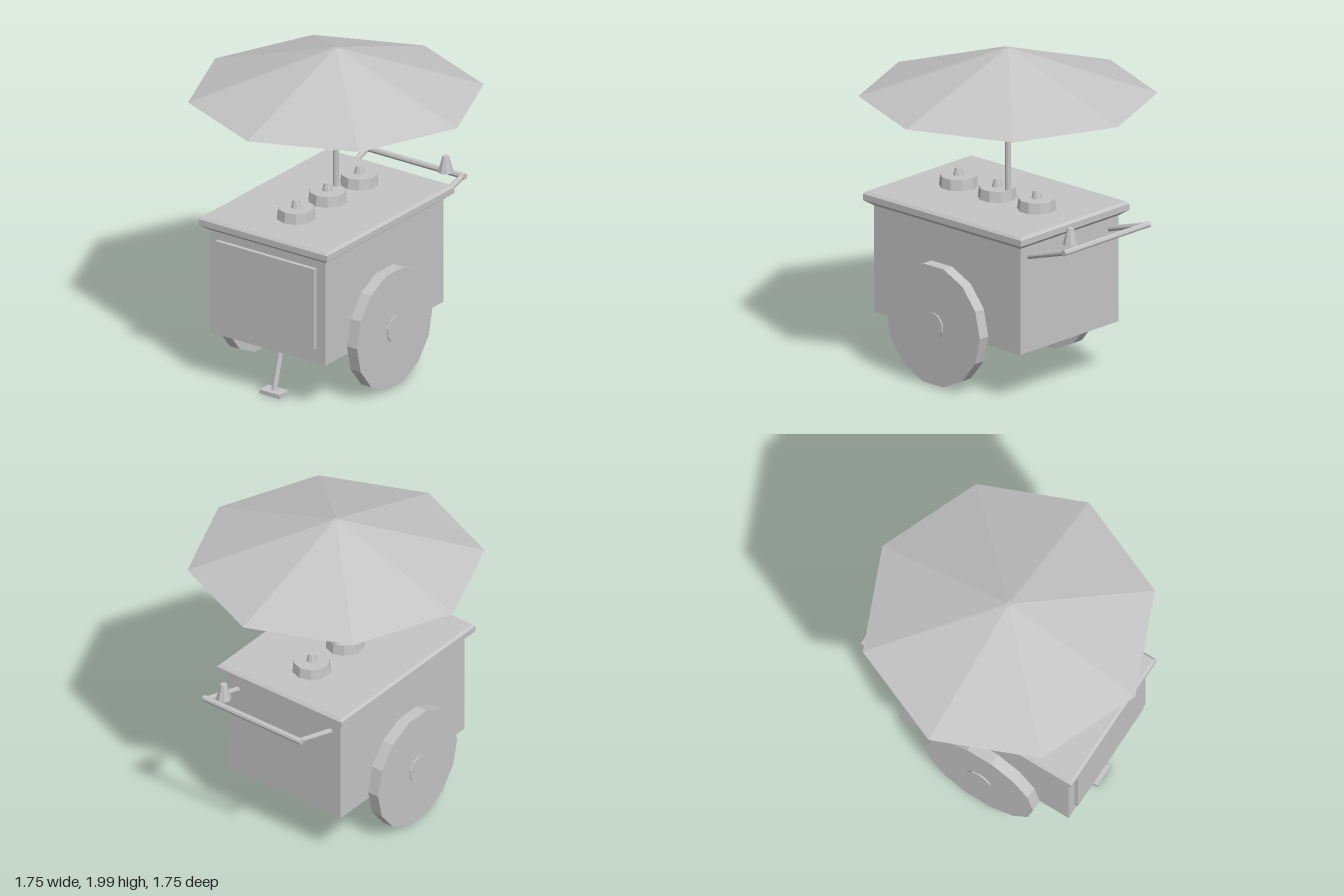
import * as THREE from 'three';

export function createModel() {
  const cart = new THREE.Group();
  cart.name = 'vendingCart';
  const grey = new THREE.MeshStandardMaterial({ color: 0xc4c4c4, flatShading: true });
  grey.name = 'plainGrey';
  const canopyGrey = grey.clone();
  canopyGrey.name = 'plainGreyCanopy';
  canopyGrey.side = THREE.DoubleSide;

  const add = (name, geometry, x = 0, y = 0, z = 0, material = grey) => {
    const mesh = new THREE.Mesh(geometry, material);
    mesh.name = name;
    mesh.position.set(x, y, z);
    cart.add(mesh);
    return mesh;
  };
  const box = (name, w, h, d, x, y, z) => add(name, new THREE.BoxGeometry(w, h, d), x, y, z);

  // Round bar between two points
  const bar = (name, from, to, radius, sides = 8) => {
    const a = new THREE.Vector3(...from), b = new THREE.Vector3(...to);
    const dir = b.clone().sub(a);
    const mesh = add(name, new THREE.CylinderGeometry(radius, radius, dir.length(), sides));
    mesh.position.copy(a).add(b).multiplyScalar(0.5);
    mesh.quaternion.setFromUnitVectors(new THREE.Vector3(0, 1, 0), dir.normalize());
    return mesh;
  };

  // Cabinet and raised front panel
  const midZ = 0.095;
  box('cabinet', 0.84, 0.66, 1.17, 0, 0.65, midZ);
  box('frontPanel', 0.715, 0.51, 0.03, 0, 0.67, 0.69);

  // Counter: box with bevelled top and bottom rows (y, half width, half depth)
  const rows = [[1.06, 0.45, 0.617], [1.045, 0.465, 0.632], [1.008, 0.465, 0.632], [0.975, 0.422, 0.587]];
  const counter = new THREE.BoxGeometry(2, 1, 2, 1, 3, 1);
  const p = counter.attributes.position;
  for (let i = 0; i < p.count; i++) {
    const [y, w, d] = rows[Math.round((0.5 - p.getY(i)) * 3)];
    p.setXYZ(i, p.getX(i) * w, y, p.getZ(i) * d);
  }
  counter.computeVertexNormals();
  add('counter', counter, 0, 0, midZ);

  // Tub lids with knobs
  for (const z of [0.395, 0.085, -0.23]) {
    add('tubLid', new THREE.CylinderGeometry(0.108, 0.116, 0.065, 10), 0, 1.0925, z);
    add('lidKnob', new THREE.CylinderGeometry(0.02, 0.033, 0.047, 8), 0, 1.147, z);
  }

  // Umbrella
  bar('umbrellaPole', [0, 1.05, 0], [0, 1.985, 0], 0.019);
  add('umbrellaCanopy', new THREE.CylinderGeometry(0.017, 0.875, 0.29, 8, 1, true), 0, 1.855, 0, canopyGrey);
  add('umbrellaTip', new THREE.CylinderGeometry(0.017, 0.019, 0.006, 8), 0, 1.997, 0);

  // Wheels and axle
  const wheelY = 0.385, wheelZ = 0.12;
  bar('axle', [-0.45, wheelY, wheelZ], [0.45, wheelY, wheelZ], 0.025);
  for (const side of [-1, 1]) {
    add('wheel', new THREE.CylinderGeometry(0.373, 0.373, 0.073, 14), side * 0.4765, wheelY, wheelZ)
      .rotation.z = Math.PI / 2;
    add('hub', new THREE.CylinderGeometry(0.081, 0.081, 0.094, 10, 1, false, Math.PI / 2), side * 0.475, wheelY, wheelZ)
      .rotation.z = Math.PI / 2;
  }

  // Front stand
  bar('standLeg', [0, 0.34, 0.525], [0, 0.015, 0.617], 0.018);
  box('standFoot', 0.145, 0.026, 0.09, 0, 0.024, 0.615);

  // Push handle with bell
  for (const side of [-1, 1]) bar('handleArm', [side * 0.345, 0.905, -0.47], [side * 0.345, 1.0, -0.78], 0.017);
  bar('handleGrip', [-0.365, 1.0, -0.783], [0.365, 1.0, -0.783], 0.019);
  add('bell', new THREE.CylinderGeometry(0.02, 0.046, 0.1, 8), 0.255, 1.07, -0.737);

  return cart;
}
